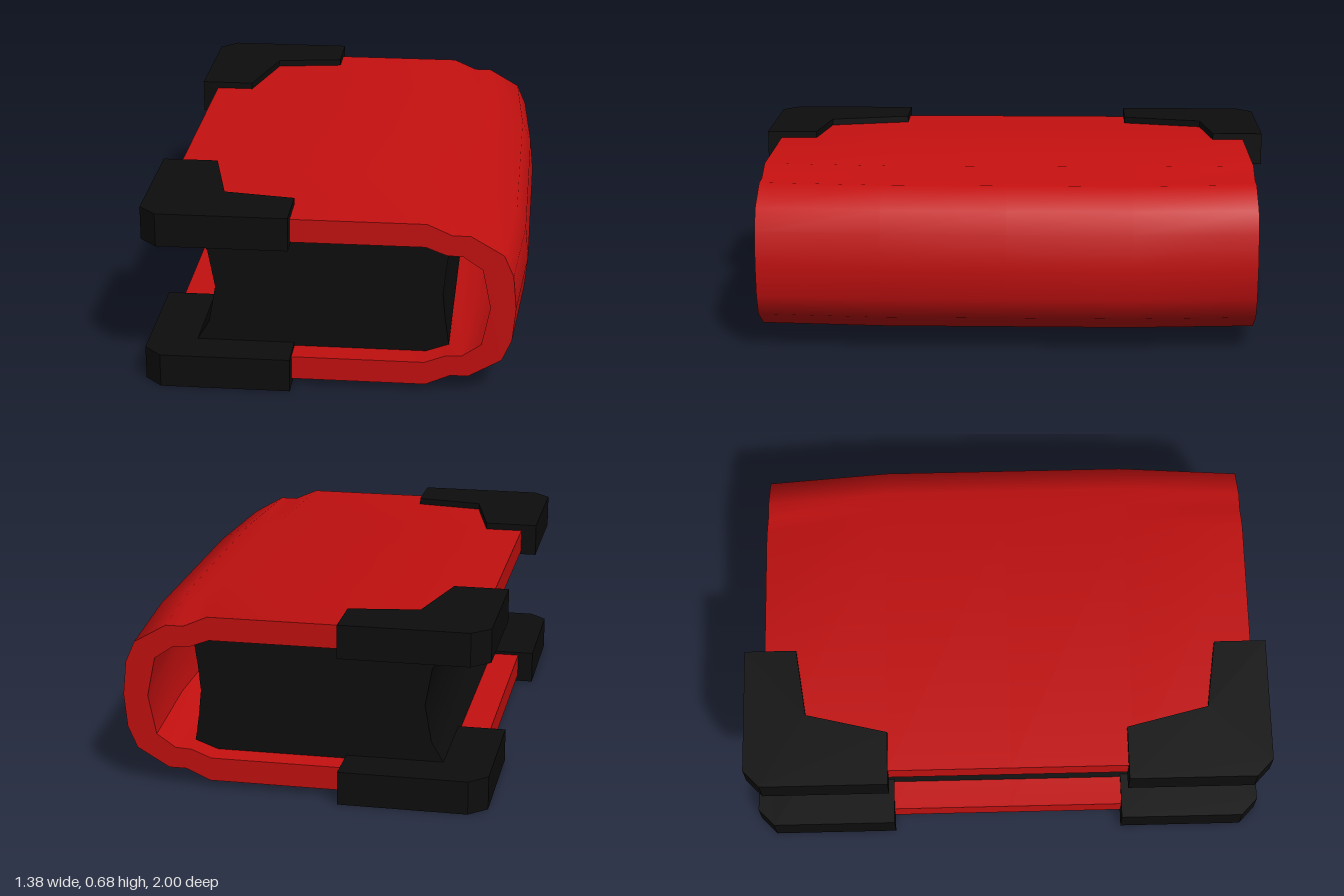
import * as THREE from 'three';
import { toCreasedNormals } from 'three/addons/utils/BufferGeometryUtils.js';

const MID = 0.34; // mid height of the book
const red = new THREE.MeshStandardMaterial({ color: 0xc41010 });
const black = new THREE.MeshStandardMaterial({ color: 0x0d0d0d });

// Append the reflection of an upper half-profile below the mid height
const mirrored = (half) => [
  ...half,
  ...half.filter(([, y]) => y !== MID).reverse().map(([x, y]) => [x, 2 * MID - y]),
];

function extrude(points, depth, steps = 1) {
  const shape = new THREE.Shape(points.map(([x, y]) => new THREE.Vector2(x, y)));
  return new THREE.ExtrudeGeometry(shape, { depth, steps, bevelEnabled: false });
}

function addMesh(group, name, geometry, material) {
  const mesh = new THREE.Mesh(toCreasedNormals(geometry, 0.7), material);
  mesh.name = name;
  group.add(mesh);
  return mesh;
}

export function createModel() {
  const book = new THREE.Group();
  book.name = 'book';

  // Wrapped cover: boards, hinge grooves and rounded spine in one C profile
  const outer = mirrored([
    [-0.635, 0.655], [0.335, 0.655], [0.425, 0.615], [0.49, 0.615],
    [0.61, 0.545], [0.645, 0.465], [0.657, MID],
  ]);
  const inner = mirrored([
    [-0.635, 0.567], [0.33, 0.567], [0.405, 0.538], [0.465, 0.535],
    [0.535, 0.487], [0.565, MID],
  ]);
  const cover = extrude([...outer, ...inner.reverse()], 1.87, 4);
  cover.translate(0, 0, -0.925);
  // Spine bulges outwards along its middle stretch
  const pos = cover.attributes.position;
  for (let i = 0; i < pos.count; i++) {
    if (pos.getX(i) > 0.3 && Math.abs(pos.getZ(i) - 0.01) < 0.6) pos.setX(i, pos.getX(i) + 0.033);
  }
  addMesh(book, 'cover', cover, red);

  // Page block with hollowed fore edge and back
  const foreEdge = mirrored([[-0.522, 0.567], [-0.47, 0.48], [-0.445, MID]]);
  const back = mirrored([[0.33, 0.567], [0.414, 0.536], [0.4, 0.44], [0.39, MID]]);
  const pages = extrude([...back, ...foreEdge.reverse()], 1.68);
  pages.translate(0, 0, -0.83);
  addMesh(book, 'pages', pages, black);

  // Four corner guards, drawn in plan (x, z) and stood at each board
  const plan = [
    [-0.695, 0.455], [-0.49, 0.455], [-0.415, 0.765], [-0.155, 0.803],
    [-0.155, 1], [-0.63, 1], [-0.695, 0.937],
  ];
  for (const side of [1, -1]) {
    for (const [level, top] of [['Upper', 0.68], ['Lower', 0.125]]) {
      const guard = extrude(plan.map(([x, z]) => [x, side * z]), 0.125);
      guard.rotateX(Math.PI / 2);
      guard.translate(0, top, 0);
      addMesh(book, `corner${level}${side > 0 ? 'Front' : 'Rear'}`, guard, black);
    }
  }
  return book;
}
